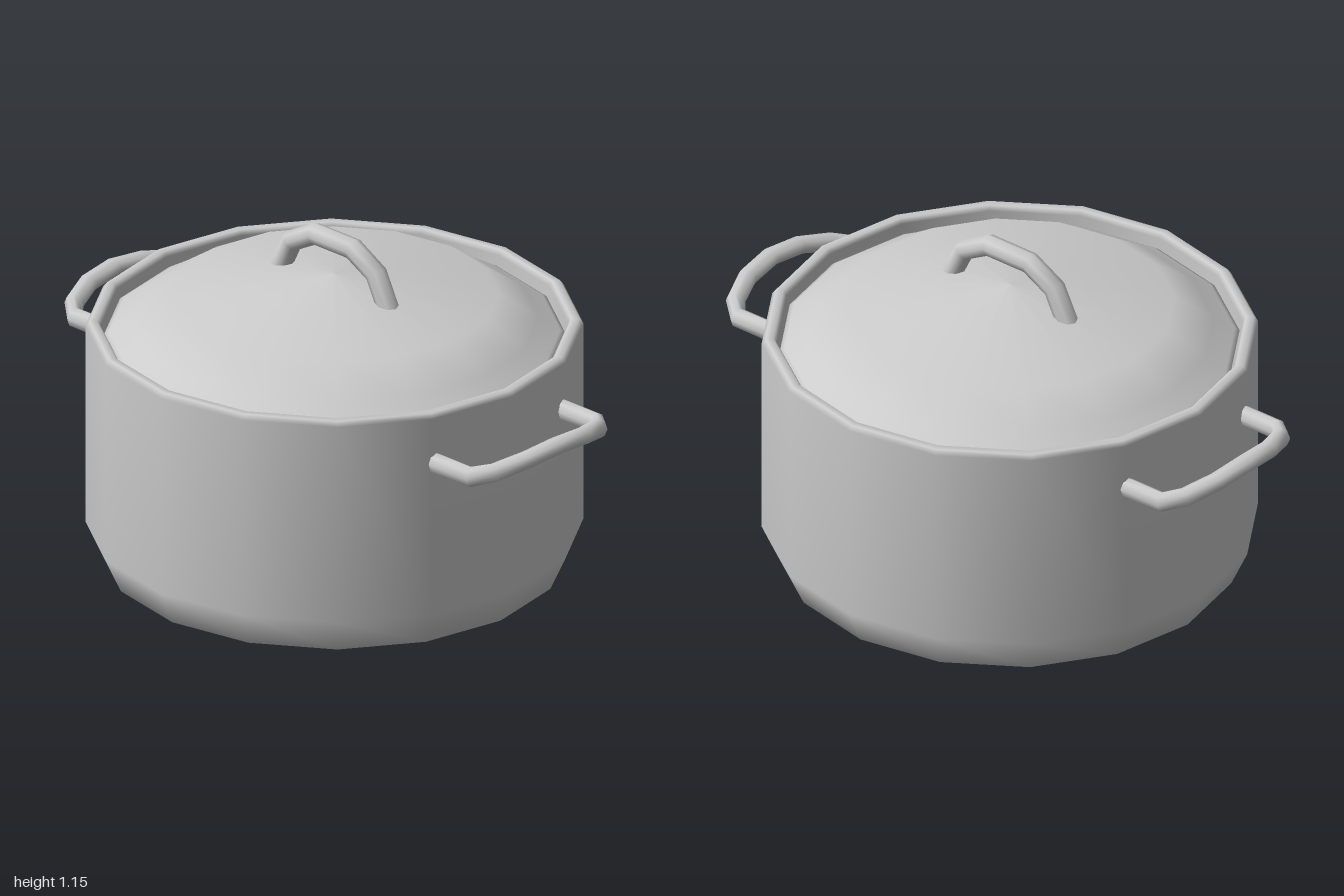
import * as THREE from 'three';

const material = new THREE.MeshStandardMaterial({ color: 0xcccccc });
const SIDES = 16;

function lathe(name, profile) {
  const points = profile.map(([r, y]) => new THREE.Vector2(r, y));
  const mesh = new THREE.Mesh(new THREE.LatheGeometry(points, SIDES), material);
  mesh.name = name;
  return mesh;
}

// Capped bar with an elliptical section swept along stations [x, y, z, halfSide, halfUp]
function bar(name, stations, up, sides = 8) {
  const path = stations.map(([x, y, z]) => new THREE.Vector3(x, y, z));
  const last = path.length - 1;
  const position = [], index = [];
  path.forEach((p, i) => {
    const t = path[Math.min(i + 1, last)].clone().sub(path[Math.max(i - 1, 0)]).normalize();
    const s = up.clone().cross(t).normalize();
    const n = t.clone().cross(s);
    for (let j = 0; j < sides; j++) {
      const a = (j / sides) * Math.PI * 2;
      const v = p.clone()
        .addScaledVector(s, Math.cos(a) * stations[i][3])
        .addScaledVector(n, Math.sin(a) * stations[i][4]);
      position.push(v.x, v.y, v.z);
    }
  });
  for (let i = 0; i < last; i++) {
    for (let j = 0; j < sides; j++) {
      const k = (j + 1) % sides;
      const a = i * sides + j, b = i * sides + k;
      index.push(a, b, a + sides, b, b + sides, a + sides);
    }
  }
  // End caps use their own vertices so the ends stay crisp
  for (const i of [0, last]) {
    const base = position.length / 3;
    position.push(...position.slice(i * sides * 3, (i + 1) * sides * 3));
    for (let j = 1; j < sides - 1; j++) {
      if (i === 0) index.push(base, base + j + 1, base + j);
      else index.push(base, base + j, base + j + 1);
    }
  }
  const geometry = new THREE.BufferGeometry();
  geometry.setAttribute('position', new THREE.Float32BufferAttribute(position, 3));
  geometry.setIndex(index);
  geometry.computeVertexNormals();
  const mesh = new THREE.Mesh(geometry, material);
  mesh.name = name;
  return mesh;
}

export function createModel() {
  const model = new THREE.Group();
  model.name = 'cookingPot';

  // Pot with a rounded base, rolled rim and hollow inside
  const pot = lathe('potBody', [
    [0, 0], [0.61, 0], [0.725, 0.05], [0.777, 0.165], [0.777, 0.835],
    [0.765, 0.85], [0.74, 0.85], [0.73, 0.835], [0.73, 0.16], [0.6, 0.05], [0, 0.05],
  ]);

  // Domed lid seated just inside the rim
  const lid = lathe('lid', [
    [0, 0.79], [0.71, 0.79], [0.72, 0.803], [0.705, 0.812],
    [0.64, 0.852], [0.515, 0.937], [0, 1.01],
  ]);
  pot.position.x = lid.position.x = -0.007;
  model.add(pot, lid);

  // Arched lid handle
  const r = 0.035;
  const arch = [[0.24, 0.95], [0.183, 1.065], [0.083, 1.12]];
  const lidHandle = bar('lidHandle', [
    ...arch.map(([x, y]) => [-x, y, 0, r, r]),
    ...arch.toReversed().map(([x, y]) => [x, y, 0, r, r]),
  ], new THREE.Vector3(0, 0, 1));
  lidHandle.position.x = -0.007;
  model.add(lidHandle);

  // Side handles: section turns from upright at the pot to flat at the grip
  const half = [
    [0.705, 0.68, 0.283, 0.026, 0.035],
    [0.862, 0.68, 0.283, 0.028, 0.034],
    [0.915, 0.695, 0.232, 0.031, 0.031],
    [0.955, 0.718, 0.126, 0.033, 0.027],
  ];
  const loop = [
    ...half,
    [0.966, 0.73, 0, 0.035, 0.025],
    ...half.toReversed().map(([x, y, z, a, b]) => [x, y, -z, a, b]),
  ];
  const leftHandle = bar('leftHandle', loop, new THREE.Vector3(0, 1, 0));
  const rightHandle = leftHandle.clone();
  rightHandle.name = 'rightHandle';
  rightHandle.rotation.y = Math.PI;
  model.add(leftHandle, rightHandle);

  return model;
}
